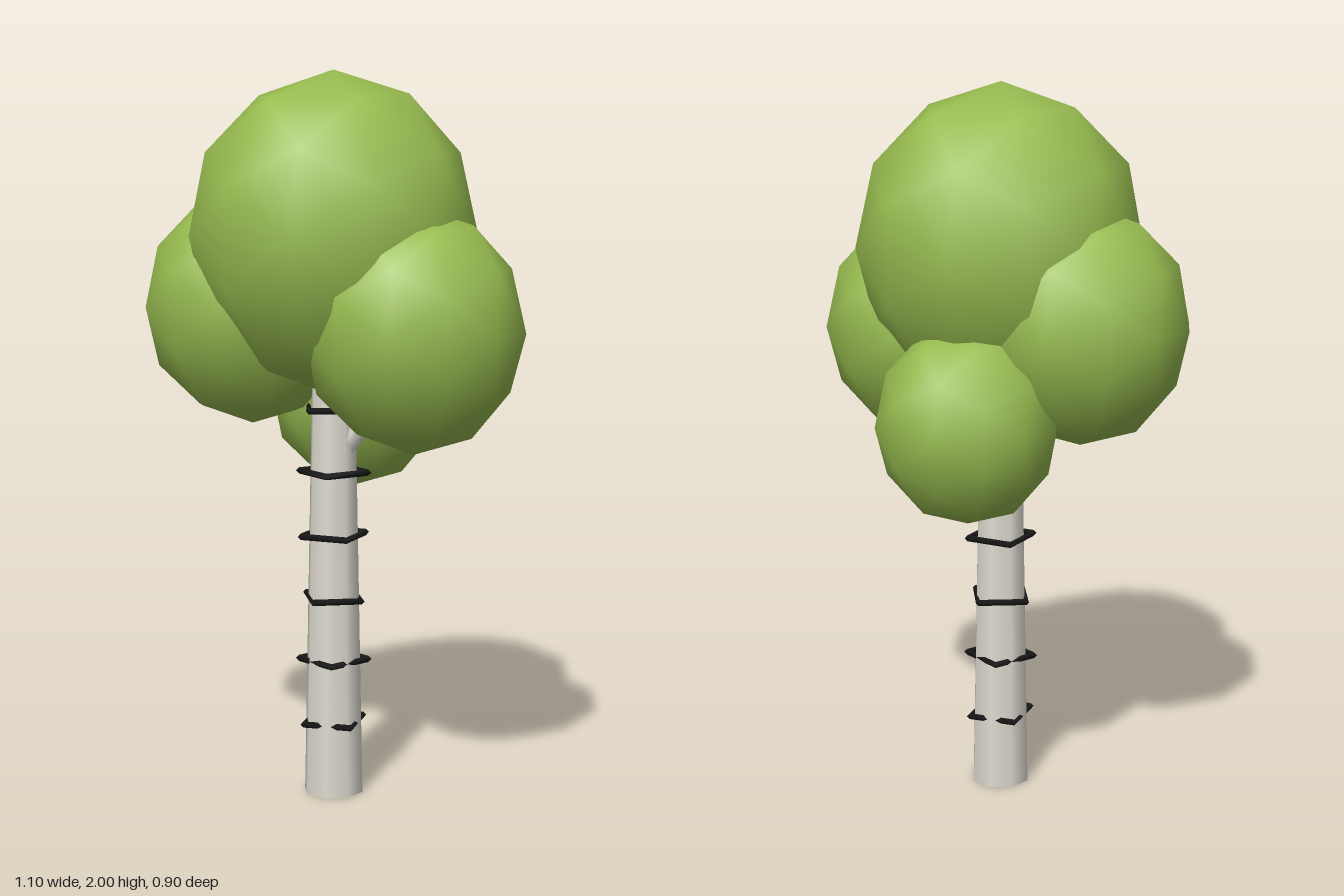
import * as THREE from 'three';

const AXIS_Z = 0.05; // the trunk stands slightly forward of centre

function material(name, color) {
  const m = new THREE.MeshStandardMaterial({ color });
  m.name = name;
  return m;
}

export function createModel() {
  const tree = new THREE.Group();
  tree.name = 'birchTree';
  const bark = material('paleBark', 0xdedad0);
  const mark = material('darkBark', 0x1a1a1a);
  const leaf = material('leafGreen', 0x98bc50);

  const add = (name, geometry, mat, x, y, z) => {
    const mesh = new THREE.Mesh(geometry, mat);
    mesh.name = name;
    mesh.position.set(x, y, z);
    tree.add(mesh);
    return mesh;
  };

  // Tapered eight-sided trunk
  add('trunk', new THREE.CylinderGeometry(0.06, 0.084, 1.24, 8), bark, 0, 0.62, AXIS_Z);

  // Short side branch reaching into the left foliage
  const from = new THREE.Vector3(0.03, 0.98, AXIS_Z);
  const to = new THREE.Vector3(0.21, 1.2, AXIS_Z + 0.02);
  const dir = to.clone().sub(from);
  const mid = from.clone().add(to).multiplyScalar(0.5);
  const branch = add('branch', new THREE.CylinderGeometry(0.025, 0.035, dir.length(), 6), bark, mid.x, mid.y, mid.z);
  branch.quaternion.setFromUnitVectors(new THREE.Vector3(0, 1, 0), dir.normalize());

  // Square bark rings, each turned one radian further than the one below
  const ring = new THREE.TorusGeometry(0.097, 0.009, 4, 4);
  ring.rotateX(Math.PI / 2).rotateY(Math.PI / 4);
  for (let i = 0; i < 6; i++) {
    add('barkRing' + (i + 1), ring, mark, 0, 0.203 + i * 0.1765, AXIS_Z).rotation.y = i;
  }

  // Foliage: smooth icospheres, a little taller than wide
  const blob = new THREE.IcosahedronGeometry(1, 1);
  const crown = [
    ['mainFoliage', 0, 1.56, 0.05, 0.4],
    ['leftFoliage', 0.25, 1.31, 0.15, 0.3],
    ['rightFoliage', -0.25, 1.36, 0, 0.3],
    ['backFoliage', 0, 1.11, -0.2, 0.25],
  ];
  for (const [name, x, y, z, r] of crown) {
    add(name, blob, leaf, x, y, z).scale.set(r, r * 1.1, r);
  }

  return tree;
}
